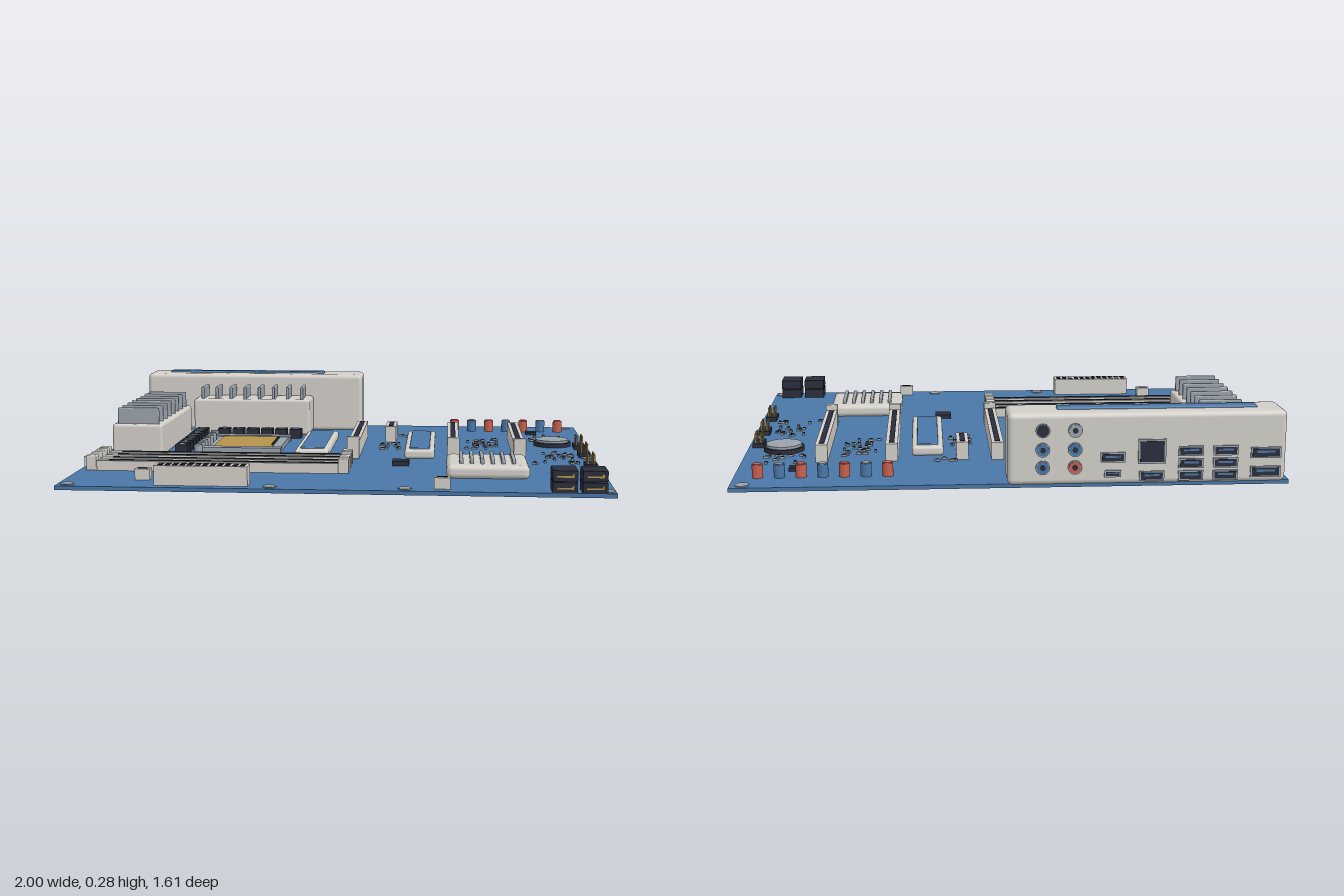
import * as THREE from 'three';
import { RoundedBoxGeometry } from 'three/addons/geometries/RoundedBoxGeometry.js';

const paint = (name, color) => {
  const m = new THREE.MeshStandardMaterial({ color });
  m.name = name;
  return m;
};

export function createModel() {
  const root = new THREE.Group();
  root.name = 'mainboard';
  const blue = paint('board blue', 0x4a78a8), light = paint('warm white', 0xd2cfc9),
    dark = paint('dark plastic', 0x2a2d3a), grey = paint('metal grey', 0x9aa2ac),
    gold = paint('gold contacts', 0xb4944c), red = paint('coral red', 0xc8604f);
  const TOP = 0.015; // upper face of the board

  // Box given by its limits; r rounds the edges
  function box(name, mat, x0, x1, z0, z1, y0, y1, r = 0) {
    const s = [x1 - x0, y1 - y0, z1 - z0];
    const geo = r ? new RoundedBoxGeometry(...s, 3, r) : new THREE.BoxGeometry(...s);
    const mesh = new THREE.Mesh(geo, mat);
    mesh.name = name;
    mesh.position.set((x0 + x1) / 2, (y0 + y1) / 2, (z0 + z1) / 2);
    root.add(mesh);
    return mesh;
  }
  // Box given by its centre on the board and its size
  const block = (name, mat, x, z, w, d, y0, y1, r = 0) =>
    box(name, mat, x - w / 2, x + w / 2, z - d / 2, z + d / 2, y0, y1, r);
  function disc(name, mat, x, z, r, y0, y1, sides = 20) {
    const mesh = new THREE.Mesh(new THREE.CylinderGeometry(r, r, y1 - y0, sides), mat);
    mesh.name = name;
    mesh.position.set(x, (y0 + y1) / 2, z);
    root.add(mesh);
    return mesh;
  }
  // n evenly spaced values from a to b
  const spread = (a, b, n) => Array.from({ length: n }, (_, i) => a + (b - a) * i / (n - 1));

  // Circuit board and mounting pads
  box('circuitBoard', blue, -1, 1, -0.79, 0.8, 0, TOP);
  for (const [x, z] of [[0.955, -0.755], [-0.963, 0.76], [-0.225, 0.76], [0.258, 0.76],
    [0.973, 0.76], [0.972, 0.07], [-0.972, 0.07]]) disc('mountingPad', grey, x, z, 0.025, TOP, TOP + 0.004);

  // Rear port cover with coloured strip
  box('portCover', light, -0.985, 0.015, -0.8, -0.635, 0.01, 0.272, 0.02);
  box('coverStrip', blue, -0.89, -0.165, -0.74, -0.692, 0.265, 0.28, 0.007);

  // Rear ports
  const BACK = -0.8;
  function port(x, y, w, h) {
    box('portFrame', grey, x - w / 2, x + w / 2, BACK - 0.005, BACK + 0.01, y - h / 2, y + h / 2);
    box('portOpening', dark, x - w / 2 + 0.006, x + w / 2 - 0.006, BACK - 0.007, BACK, y - h / 2 + 0.005, y + h / 2 - 0.005);
    box('portTongue', blue, x - w * 0.3, x + w * 0.3, BACK - 0.008, BACK, y, y + h * 0.2);
  }
  for (const y of [0.13, 0.085, 0.04]) for (const x of [-0.64, -0.765]) port(x, y, 0.09, 0.036);
  for (const y of [0.12, 0.05]) port(-0.91, y, 0.11, 0.04);
  port(-0.36, 0.11, 0.09, 0.036);
  port(-0.36, 0.05, 0.06, 0.025);
  port(-0.5, 0.04, 0.09, 0.036);
  box('networkFrame', grey, -0.55, -0.45, BACK - 0.005, BACK + 0.01, 0.085, 0.175);
  box('networkOpening', dark, -0.543, -0.457, BACK - 0.007, BACK, 0.092, 0.168);
  [[dark, blue, blue], [grey, blue, red]].forEach((col, i) => col.forEach((mat, j) => {
    const x = [-0.11, -0.225][i], y = [0.21, 0.14, 0.075][j];
    [[grey, 0.026, 0.005], [mat, 0.022, 0.007], [dark, 0.01, 0.008]].forEach(([m, r, out]) => {
      const jack = disc('audioJack', m, x, BACK, r, 0, 0.01 + out);
      jack.rotation.x = Math.PI / 2;
      jack.position.set(x, y, BACK + (0.01 - out) / 2);
    });
  }));

  // Power stage heat sinks with upright fins
  box('rearHeatSink', light, -0.738, -0.21, -0.632, -0.465, TOP, 0.175, 0.012);
  for (const x of spread(-0.7, -0.25, 8)) block('rearFin', grey, x, -0.548, 0.014, 0.125, 0.165, 0.228, 0.005);
  box('sideHeatSink', light, -0.952, -0.745, -0.45, 0.16, TOP, 0.147, 0.012);
  for (const z of spread(-0.413, 0.132, 8)) block('sideFin', grey, -0.848, z, 0.17, 0.014, 0.137, 0.212, 0.005);

  // Chokes beside and behind the processor
  function choke(x, z) {
    block('choke', dark, x, z, 0.052, 0.052, TOP, 0.055);
    disc('chokeTop', grey, x, z, 0.016, 0.055, 0.058, 12);
  }
  for (const z of spread(-0.375, 0.075, 8)) {
    choke(-0.682, z);
    if (z > -0.35) disc('capacitor', grey, -0.615, z, 0.017, TOP, 0.055, 14);
  }
  for (const x of spread(-0.585, -0.265, 6)) choke(x, -0.39);

  // Processor socket
  for (const [z0, z1] of [[-0.315, -0.27], [0.017, 0.062]])
    box('socketBar', grey, -0.61, -0.275, z0, z1, TOP, 0.04);
  box('socketSide', grey, -0.585, -0.565, -0.27, 0.017, TOP, 0.035);
  box('socketSide', grey, -0.318, -0.282, -0.27, 0.017, TOP, 0.035);
  box('processor', gold, -0.565, -0.318, -0.27, 0.017, TOP, 0.037);
  box('socketLever', dark, -0.327, -0.321, -0.25, -0.04, 0.037, 0.042);

  // Storage covers with coloured inlay
  for (const [x0, x1, z0, z1] of [[-0.207, -0.07, -0.36, 0.157], [0.235, 0.357, -0.388, 0.135]]) {
    box('storageCover', light, x0, x1, z0, z1, TOP, 0.052, 0.012);
    box('storageInlay', blue, x0 + 0.02, x1 - 0.02, z0 + 0.028, z1 - 0.028, 0.045, 0.057, 0.005);
  }

  // Expansion slots
  for (const x of [0.03, 0.432, 0.697]) {
    block('expansionSlot', light, x, -0.16, 0.046, 0.595, TOP, 0.083);
    block('slotGroove', dark, x, -0.165, 0.02, 0.55, 0.08, 0.085);
    block('slotLatch', light, x, 0.14, 0.05, 0.03, TOP, 0.105, 0.004);
  }
  block('shortSlot', light, 0.163, -0.37, 0.046, 0.155, TOP, 0.083);
  block('shortSlotGroove', dark, 0.163, -0.37, 0.02, 0.125, 0.08, 0.085);

  // Memory slots
  for (const z of [0.265, 0.328, 0.4, 0.463]) {
    box('memorySlot', light, -0.93, 0.02, z - 0.019, z + 0.019, TOP, 0.053);
    box('memoryGroove', dark, -0.885, -0.005, z - 0.009, z + 0.009, 0.05, 0.055);
    for (const x of [-0.952, 0.017]) block('memoryLatch', light, x, z, 0.04, 0.042, TOP, 0.072, 0.004);
  }

  // Main power connector
  box('powerConnector', light, -0.645, -0.305, 0.695, 0.762, TOP, 0.087);
  for (const x of spread(-0.625, -0.325, 12)) for (const z of [0.713, 0.744])
    block('powerPinHole', dark, x, z, 0.018, 0.019, 0.084, 0.089);

  // Chipset heat sink
  box('chipsetHeatSink', light, 0.405, 0.712, 0.285, 0.562, TOP, 0.067, 0.02);
  for (const x of spread(0.46, 0.655, 6)) block('chipsetFin', grey, x, 0.424, 0.015, 0.195, 0.06, 0.085, 0.006);

  // Coin battery
  disc('batteryHolder', dark, 0.857, -0.26, 0.079, TOP, 0.032, 32);
  disc('battery', grey, 0.857, -0.26, 0.069, 0.032, 0.042, 32);

  // Pin headers along the right-hand edge
  for (const z of [-0.185, 0.015, 0.267]) {
    block('pinHeader', dark, 0.963, z, 0.045, 0.085, TOP, 0.032);
    for (const dx of [-0.011, 0.011]) for (const dz of spread(-0.032, 0.032, 4))
      block('headerPin', gold, 0.963 + dx, z + dz, 0.006, 0.006, 0.03, 0.07);
  }
  block('rearHeader', dark, -0.915, -0.632, 0.07, 0.022, TOP, 0.03);
  for (const x of spread(-0.938, -0.892, 4)) block('headerPin', gold, x, -0.626, 0.006, 0.006, 0.03, 0.055);

  // Audio capacitors
  spread(0.442, 0.912, 7).forEach((x, i) => {
    disc('audioCapacitor', i % 2 ? blue : red, x, -0.652, 0.02, TOP, 0.064);
    disc('audioCapacitorTop', i % 2 ? grey : red, x, -0.652, 0.016, 0.064, 0.067);
  });

  // Stacked drive sockets on the front edge
  for (const x of [0.818, 0.922]) for (const y of [0.015, 0.057]) {
    block('driveSocket', dark, x, 0.748, 0.087, 0.105, y, y + 0.038);
    block('driveContact', gold, x, 0.801, 0.06, 0.004, y + 0.014, y + 0.02);
    block('driveKey', gold, x + 0.027, 0.801, 0.006, 0.004, y + 0.014, y + 0.028);
  }

  // Chips and small connectors
  block('chip', dark, 0.226, 0.265, 0.066, 0.066, TOP, 0.032);
  block('chip', dark, 0.785, -0.56, 0.046, 0.046, TOP, 0.028);
  block('chip', dark, -0.07, 0.432, 0.05, 0.025, TOP, 0.026);
  for (const [x, z, w, d] of [[-0.71, 0.645, 0.056, 0.036], [0.39, 0.74, 0.058, 0.032], [-0.968, 0.4, 0.06, 0.026]]) {
    block('smallConnector', light, x, z, w, d, TOP, 0.056);
    block('smallConnectorGroove', dark, x, z, w * 0.65, d * 0.3, 0.054, 0.058);
  }

  // Scattered surface components: centre, spread and count of each cluster
  let seed = 7;
  const rnd = () => (seed = (seed * 16807) % 2147483647) / 2147483647;
  for (const [cx, cz, rx, rz, n] of [[0.56, -0.25, 0.07, 0.14, 26], [0.17, -0.17, 0.04, 0.08, 12],
    [0.84, -0.42, 0.08, 0.07, 12], [0.86, 0.02, 0.06, 0.1, 18], [0.74, 0.2, 0.06, 0.02, 6],
    [0.93, 0.19, 0.05, 0.02, 6], [0.22, -0.44, 0.04, 0.03, 4]]) {
    for (let i = 0; i < n; i++) {
      const x = cx + (rnd() * 2 - 1) * rx, z = cz + (rnd() * 2 - 1) * rz, turned = rnd() > 0.5;
      const w = turned ? 0.01 : 0.022, d = turned ? 0.022 : 0.01;
      block('surfacePart', grey, x, z, w, d, TOP, 0.022);
      block('surfacePartBody', dark, x, z, turned ? w : w * 0.5, turned ? d * 0.5 : d, TOP, 0.024);
    }
  }
  return root;
}
